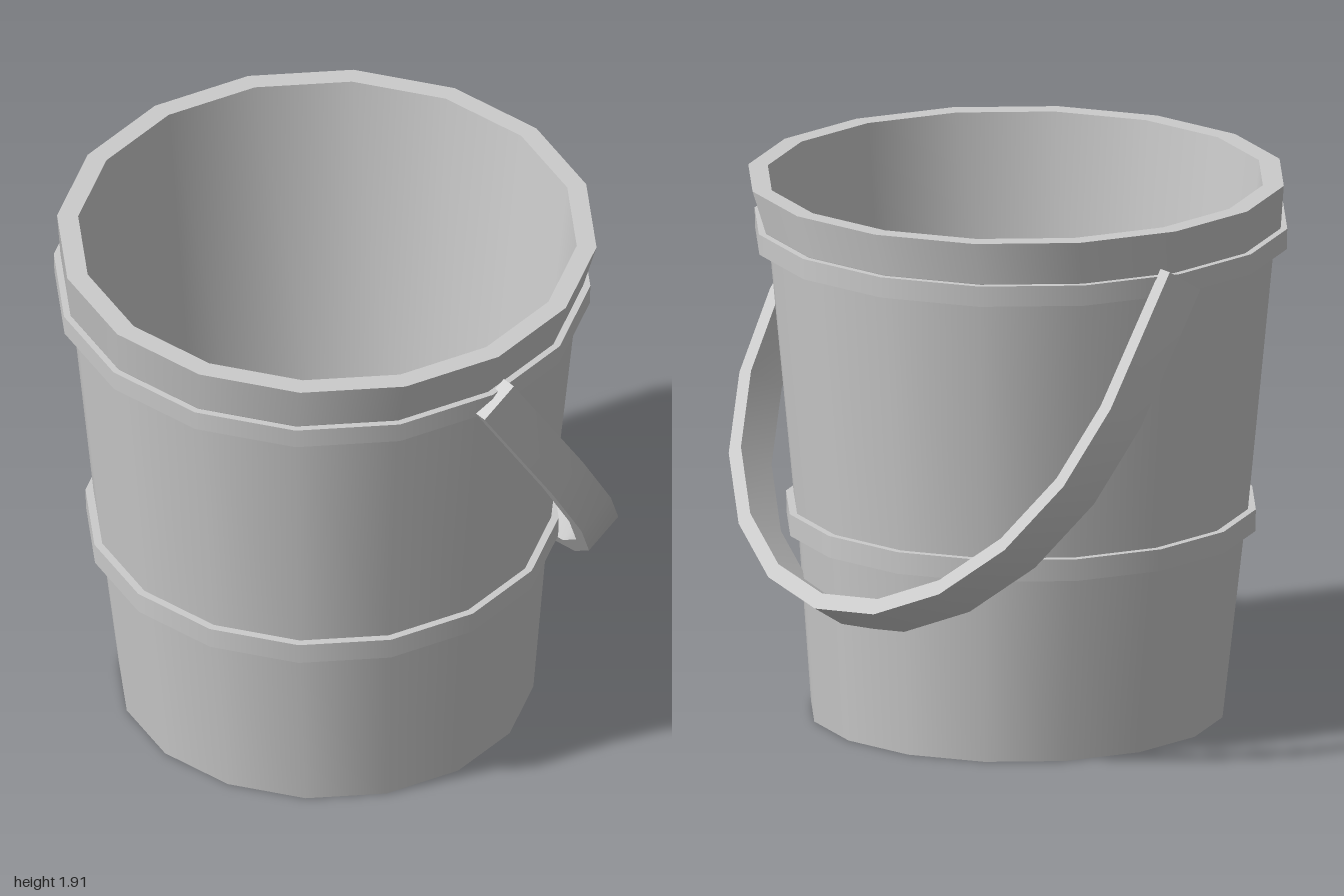
import * as THREE from 'three';
import { mergeGeometries, toCreasedNormals } from 'three/addons/utils/BufferGeometryUtils.js';

const SIDES = 16;

// Lathe a profile of [radius, y, zCentre]; every step is its own ring so edges stay sharp
function turned(name, profile, material) {
  const rings = [];
  for (let i = 0; i < profile.length - 1; i++) {
    const [a, b] = [profile[i], profile[i + 1]];
    const ring = new THREE.LatheGeometry(
      [new THREE.Vector2(a[0], a[1]), new THREE.Vector2(b[0], b[1])], SIDES);
    const p = ring.attributes.position;
    for (let k = 0; k < p.count; k++) p.setZ(k, p.getZ(k) + (k % 2 ? b[2] : a[2]));
    rings.push(ring);
  }
  const mesh = new THREE.Mesh(mergeGeometries(rings), material);
  mesh.name = name;
  return mesh;
}

export function createModel() {
  const model = new THREE.Group();
  model.name = 'bucket';
  const grey = new THREE.MeshStandardMaterial({ color: 0xcccccc });

  // Tapered walls, flared rim, inside and floor
  model.add(turned('body', [
    [0, 0, -0.007], [0.72, 0, -0.007], [0.782, 0.667, 0.01], [0.795, 0.745, 0.01],
    [0.885, 1.68, 0.01], [0.908, 1.755, 0.012], [0.937, 1.91, -0.01],
    [0.866, 1.91, -0.013], [0.67, 0.01, -0.01], [0, 0.01, -0.01],
  ], grey));

  // Two hoops around the outside
  const hoop = (name, y0, y1, inner, outer) => turned(name, [
    [inner, y0, 0.01], [outer - 0.002, y0, 0.011], [outer, y1, 0.011], [inner, y1, 0.01],
  ], grey);
  model.add(hoop('lowerHoop', 0.667, 0.745, 0.77, 0.822));
  model.add(hoop('upperHoop', 1.68, 1.753, 0.875, 0.932));

  // Handle: flat half hoop with nearly straight ends, hanging down behind
  const arc = (r, end) => {
    const pts = [new THREE.Vector2(-end, 0)];
    for (let k = -5; k <= 5; k++) {
      const t = k * Math.PI / 10;
      pts.push(new THREE.Vector2(Math.sin(t) * r, -0.52 - Math.cos(t) * r));
    }
    pts.push(new THREE.Vector2(end, 0));
    return pts;
  };
  const width = 0.155;
  const strip = new THREE.ExtrudeGeometry(
    new THREE.Shape([...arc(1, 0.965), ...arc(0.942, 0.91).reverse()]),
    { depth: width, bevelEnabled: false });
  strip.translate(0, 0, -width / 2);
  const handle = new THREE.Mesh(toCreasedNormals(strip, 0.5), grey);
  handle.name = 'handle';
  handle.rotation.x = 0.566;
  handle.position.set(0, 1.736, 0.01);
  model.add(handle);

  return model;
}
